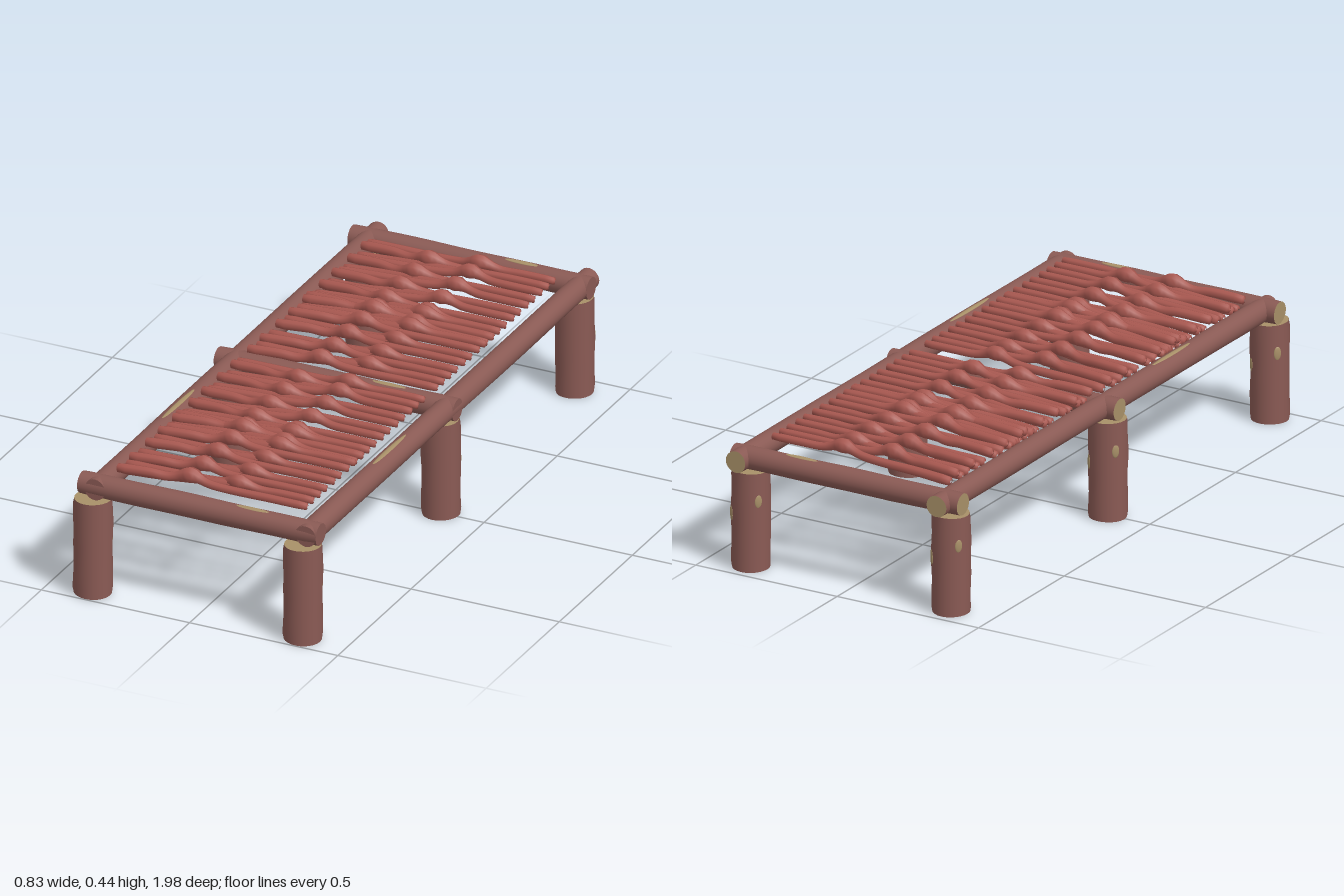
import * as THREE from 'three';

const mat = (color) => new THREE.MeshStandardMaterial({ color });

// Uneven bark: radius of a log at an angle and height
const barkRadius = (d, a, y) => d.radius * (1 + d.bump / 2 *
  (Math.sin(2 * a + d.seed + 9 * y / d.length) + Math.sin(3 * a - d.seed * 2 + 15 * y / d.length)));

export function createModel() {
  const model = new THREE.Group();
  model.name = 'woodenCot';
  const bark = mat(0x8a5a54), cut = mat(0xa89068), twigMat = mat(0xa85850);

  // Log: cylinder with bark, worn rims and chosen end materials
  function log(name, radius, length, seed, ends) {
    const d = { radius, length, seed, bump: 0.03 };
    const g = new THREE.CylinderGeometry(radius, radius, length, 24, 20);
    const p = g.attributes.position;
    for (let i = 0; i < p.count; i++) {
      const x = p.getX(i), y = p.getY(i), z = p.getZ(i);
      const rim = Math.abs(y) > length * 0.499 ? 0.96 : 1;
      const k = rim * barkRadius(d, Math.atan2(z, x), y) / radius;
      p.setXYZ(i, x * k, y, z * k);
    }
    const mesh = new THREE.Mesh(g, [bark, ...ends]);
    mesh.name = name;
    mesh.userData = d;
    return mesh;
  }

  // Pale knot: shallow oval on the surface of a log, long along its axis
  function knot(parent, angle, y, w, h) {
    const m = new THREE.Mesh(new THREE.SphereGeometry(1, 16, 12), cut);
    const r = barkRadius(parent.userData, angle, y) - 0.0015;
    m.name = 'knot';
    m.scale.set(0.004, h, w);
    m.position.set(Math.cos(angle) * r, y, Math.sin(angle) * r);
    m.rotation.y = -angle;
    parent.add(m);
  }

  // Six legs
  [0.94, -0.004, -0.92].forEach((z, row) => {
    for (const x of [-0.355, 0.353]) {
      const leg = log('leg', 0.06, 0.32, row, [cut, cut]);
      leg.position.set(x, 0.165, z);
      knot(leg, Math.PI * 1.2, 0.07, 0.012, 0.022);
      knot(leg, -0.75, 0.02, 0.013, 0.026);
      model.add(leg);
    }
  });

  // Two long side rails, sawn at the back end
  [-0.34, 0.37].forEach((x, i) => {
    const rail = log('sideRail', 0.036, 1.94, i * 2, [bark, cut]);
    rail.rotation.x = Math.PI / 2;
    rail.position.set(x, 0.36, -0.012);
    knot(rail, -Math.PI / 2, 0.4, 0.009, 0.12);
    model.add(rail);
  });

  // Three cross rails, sawn at the right end
  [0.925, -0.01, -0.925].forEach((z, i) => {
    const rail = log('crossRail', 0.0365, 0.805, i + 1, [bark, cut]);
    rail.rotation.z = -Math.PI / 2;
    rail.position.set(0.003, 0.36, z);
    knot(rail, Math.PI, 0.17, 0.01, 0.06);
    knot(rail, 0, -0.15, 0.01, 0.06);
    model.add(rail);
  });

  // Twig: tube with rounded ends, a thicker left half and a swollen knob
  function twig(name, points, knobX, swell, thick) {
    const n = 40, sides = 8;
    const path = new THREE.CatmullRomCurve3(points.map((q) => new THREE.Vector3(...q)));
    const g = new THREE.TubeGeometry(path, n, 1, sides);
    const p = g.attributes.position, v = new THREE.Vector3();
    for (let i = 0; i <= n; i++) {
      const end = Math.min(i, n - i);
      const t = end === 1 ? (i === 1 ? 0.006 : 0.994) : i / n;
      const ring = path.getPointAt(i / n), c = path.getPointAt(t);
      const round = end === 0 ? 0.3 : end === 1 ? 0.88 : 1;
      const r = round * (0.013 + thick * Math.max(0, 0.05 - c.x) + swell * Math.exp(-(((c.x - knobX) / 0.026) ** 2)));
      for (let j = 0; j <= sides; j++) {
        const k = i * (sides + 1) + j;
        v.fromBufferAttribute(p, k).sub(ring).multiplyScalar(r).add(c);
        p.setXYZ(k, v.x, v.y, v.z);
      }
    }
    g.computeVertexNormals();
    const mesh = new THREE.Mesh(g, twigMat);
    mesh.name = name;
    return mesh;
  }

  const bed = new THREE.Group();
  bed.name = 'twigBed';

  // One long twig; d(x) gives its sideways place by distance from the pair's middle
  function longTwig(knobX, low, z, w) {
    bed.add(twig('twig', [
      [-0.31, low, z(0.032) + w],
      [-0.2, low + 0.005, z(0.026) + w],
      [knobX - 0.07, 0.404, z(0.02) + w * 0.5],
      [knobX, 0.421, z(0.012)],
      [knobX + 0.07, 0.406, z(0.018)],
      [0.22, 0.406, z(0.022)],
      [0.328, 0.406, z(0.022)],
    ], knobX, 0.012, 0.009));
  }

  // Each bay holds two bundles of twig pairs, mirrored and overlapping mid-bay
  const bundles = [
    [1, [0.385, 0.295, 0.197, 0.1, 0.005]],
    [-1, [0.045, -0.04, -0.137, -0.235, -0.33]],
  ];
  for (const bay of [-0.442, 0.45]) {
    for (const [flip, offsets] of bundles) {
      offsets.forEach((offset, i) => {
        const zc = bay + offset;
        const w = flip * Math.sin(i * 2.3) * 0.006;
        longTwig(0.08, 0.386, (d) => zc - flip * d, w);
        longTwig(-0.07, 0.402, (d) => zc + flip * d, w);
        // Side shoot running from the knob to the left end of the pair
        bed.add(twig('sideShoot', [
          [-0.308, 0.382, zc + w],
          [-0.18, 0.39, zc + w * 2],
          [-0.05, 0.402, zc - flip * 0.004],
          [0.07, 0.411, zc - flip * 0.012],
        ], 0.07, 0, 0.003));
      });
    }
    // Single twig closing the bay
    longTwig(0.08, 0.39, (d) => bay - 0.373 - d, 0);
  }
  model.add(bed);
  return model;
}
